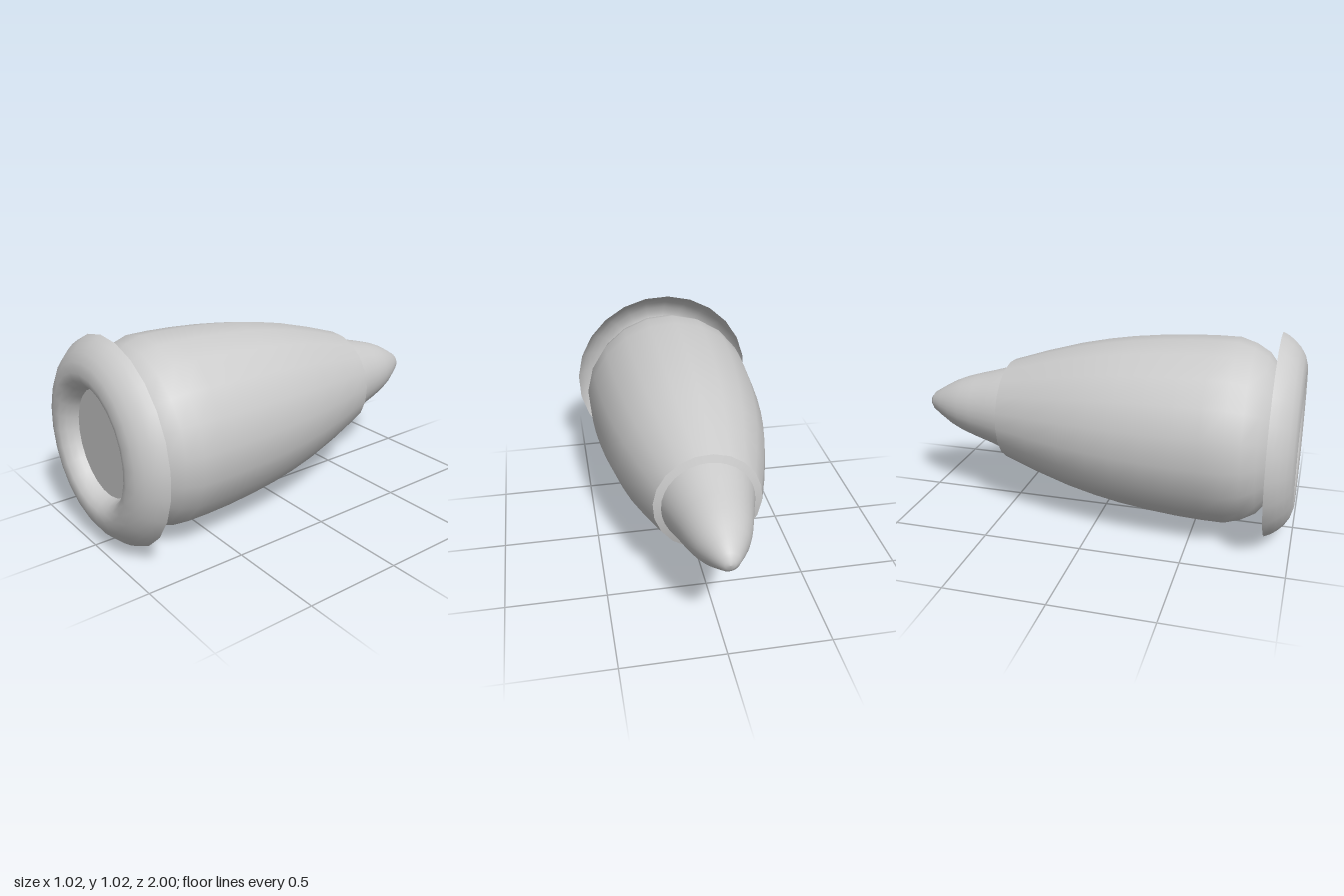
import * as THREE from 'three';

const AXIS_Y = 0.512;

// Revolve [radius, z] points (listed back to front) around the z axis.
function revolve(name, points, segments, phase, side = THREE.FrontSide) {
  const profile = points.map(([r, z]) => new THREE.Vector2(r, z));
  const geometry = new THREE.LatheGeometry(profile, segments, phase);
  geometry.rotateX(Math.PI / 2);
  const mesh = new THREE.Mesh(geometry, new THREE.MeshStandardMaterial({ color: 0xcccccc, side }));
  mesh.name = name;
  mesh.position.y = AXIS_Y;
  return mesh;
}

export function createModel() {
  const engine = new THREE.Group();
  engine.name = 'jetEngine';

  // Pointed exhaust cone at the back
  engine.add(revolve('exhaustCone', [
    [0, -1], [0.025, -0.995], [0.05, -0.975], [0.085, -0.92], [0.12, -0.86],
    [0.15, -0.79], [0.175, -0.71], [0.2, -0.62], [0.228, -0.53], [0.232, -0.5],
  ], 32, 0));

  // Turned-in rear lip of the cowling
  engine.add(revolve('rearLip', [[0.222, -0.535], [0.265, -0.52]], 20, 0.08, THREE.DoubleSide));

  // Barrel-shaped cowling, tapering to the back
  engine.add(revolve('cowling', [
    [0.265, -0.52], [0.325, -0.34], [0.38, -0.15], [0.413, 0], [0.435, 0.13], [0.453, 0.28],
    [0.465, 0.43], [0.47, 0.56], [0.47, 0.67], [0.445, 0.75], [0.405, 0.82],
    [0.34, 0.87], [0.28, 0.91],
  ], 20, 0.08, THREE.DoubleSide));

  // Flat disc closing the intake
  const disc = new THREE.Mesh(
    new THREE.CircleGeometry(0.28, 32),
    new THREE.MeshStandardMaterial({ color: 0xcccccc }),
  );
  disc.name = 'intakeDisc';
  disc.position.set(0, AXIS_Y, 0.91);
  engine.add(disc);

  // Rounded intake ring, hollow at the back
  engine.add(revolve('intakeRing', [
    [0.511, 0.87], [0.497, 0.9], [0.475, 0.93], [0.445, 0.96], [0.405, 0.985], [0.355, 1],
    [0.315, 0.99], [0.287, 0.965], [0.272, 0.935], [0.265, 0.91], [0.26, 0.87],
  ], 24, 0.08, THREE.DoubleSide));

  return engine;
}
